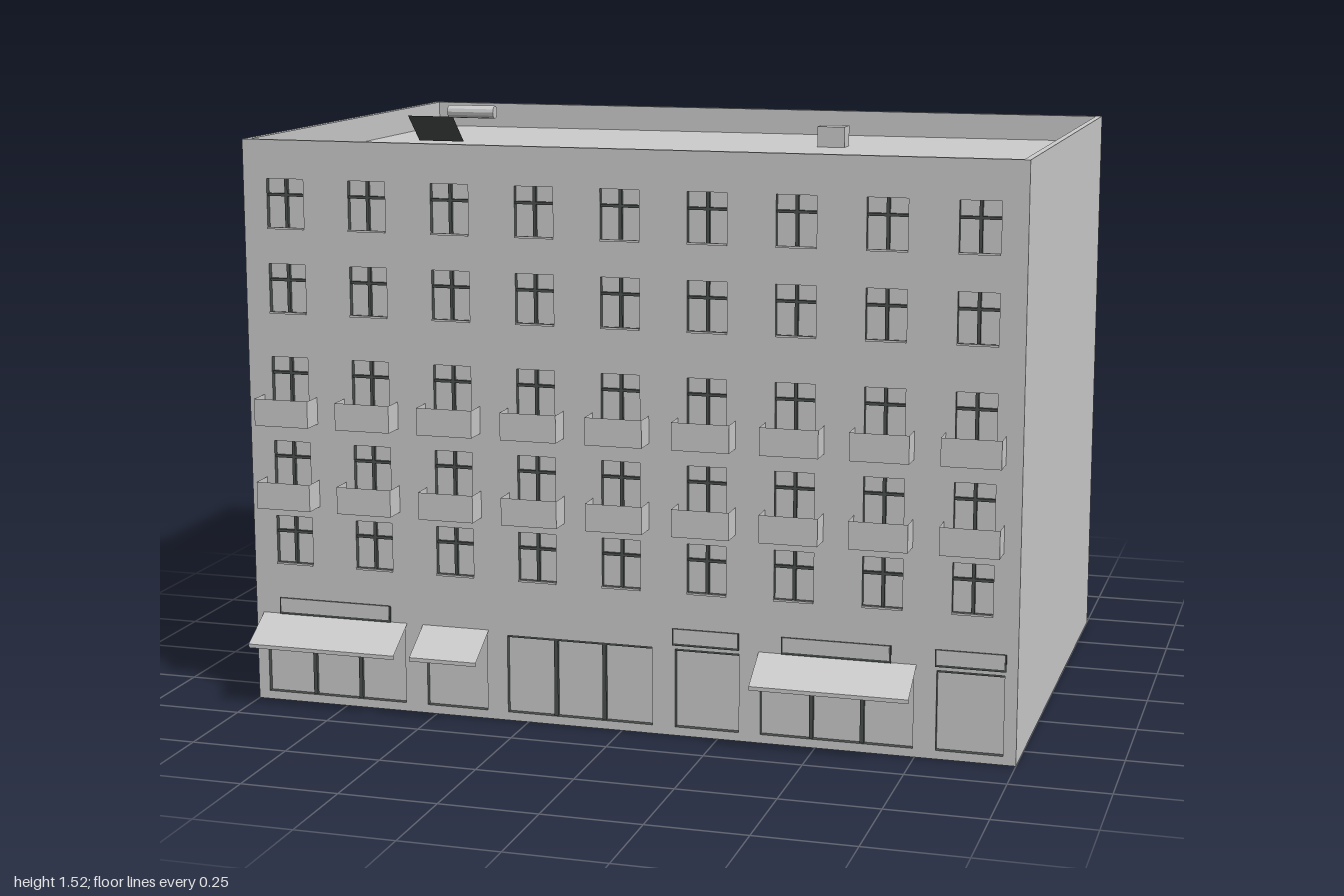
import * as THREE from 'three';

const FRONT = 0.617, BACK = -0.714, TOP = 1.47, ROOF = 1.4, REVEAL = 0.015;

export function createModel() {
  const model = new THREE.Group();
  model.name = 'apartmentBuilding';
  const plaster = new THREE.MeshStandardMaterial({ color: 0xcccccc, side: THREE.DoubleSide });
  plaster.name = 'grey plaster';
  const dark = new THREE.MeshStandardMaterial({ color: 0x4b504e, side: THREE.DoubleSide });
  dark.name = 'dark frame';

  function add(name, geometry, material = plaster) {
    const mesh = new THREE.Mesh(geometry, material);
    mesh.name = name;
    model.add(mesh);
    return mesh;
  }

  // Box between two corners, leaving out some faces (order: +x -x +y -y +z -z)
  function box(name, x0, x1, y0, y1, z0, z1, without = [], material = plaster) {
    const g = new THREE.BoxGeometry(x1 - x0, y1 - y0, z1 - z0);
    const index = Array.from(g.index.array).filter((_, i) => !without.includes(Math.floor(i / 6)));
    g.setIndex(index);
    g.clearGroups();
    g.translate((x0 + x1) / 2, (y0 + y1) / 2, (z0 + z1) / 2);
    return add(name, g, material);
  }

  function rect(target, x0, x1, y0, y1) {
    target.moveTo(x0, y0);
    target.lineTo(x1, y0);
    target.lineTo(x1, y1);
    target.lineTo(x0, y1);
    target.closePath();
    return target;
  }

  // Side and back walls, open underneath
  box('outerWalls', -1, 1, 0, TOP, BACK, FRONT, [2, 3, 4]);

  // Roof deck with inner parapet faces, and the parapet top
  const t = 0.016;
  box('roofAndParapet', -1 + t, 1 - t, ROOF, TOP, BACK + t, FRONT - t, [2]);
  const cap = rect(new THREE.Shape(), -1, 1, -FRONT, -BACK);
  cap.holes.push(rect(new THREE.Path(), -1 + t, 1 - t, -FRONT + t, -BACK - t));
  add('parapetTop', new THREE.ShapeGeometry(cap).rotateX(-Math.PI / 2).translate(0, TOP, 0));

  // Front wall, pierced by every opening: dark frame around a grey pane
  const facade = rect(new THREE.Shape(), -1, 1, 0, TOP);
  function opening(name, x0, x1, y0, y1) {
    facade.holes.push(rect(new THREE.Path(), x0, x1, y0, y1));
    box(name + 'Frame', x0, x1, y0, y1, FRONT - REVEAL, FRONT, [4, 5], dark);
    box(name + 'Pane', x0, x1, y0, y1, FRONT - REVEAL, FRONT, [0, 1, 2, 3, 4]);
  }
  function bar(name, x0, x1, y0, y1) {
    box(name, x0, x1, y0, y1, FRONT - REVEAL, FRONT - 0.006, [5], dark);
  }

  // Window rows; two of them have balconies
  const rows = [
    { y: 0.372 }, { y: 0.57, balcony: 0.528 }, { y: 0.79, balcony: 0.745 }, { y: 1.03 }, { y: 1.247 },
  ];
  for (const { y, balcony } of rows) {
    for (let i = -4; i <= 4; i++) {
      const x = i * 0.2215;
      opening('window', x - 0.05, x + 0.05, y, y + 0.125);
      bar('windowMullion', x - 0.004, x + 0.004, y, y + 0.125);
      bar('windowTransom', x - 0.05, x + 0.05, y + 0.08, y + 0.087);
      box('windowSill', x - 0.05, x + 0.05, y - 0.003, y + 0.002, FRONT, FRONT + 0.006);
      if (balcony) {
        box('balcony', x - 0.073, x + 0.073, balcony, balcony + 0.07, FRONT, 0.68, [2, 5]);
      }
    }
  }

  // Shop fronts: dark head rail, and two dividers on the wide ones
  const shops = [
    [-0.97, -0.585], [-0.525, -0.36], [-0.305, 0.08], [0.14, 0.305], [0.36, 0.745], [0.802, 0.968],
  ];
  for (const [x0, x1] of shops) {
    opening('shopFront', x0, x1, 0.022, 0.225);
    bar('shopHeadRail', x0, x1, 0.219, 0.225);
    if (x1 - x0 > 0.3) {
      for (const f of [1 / 3, 2 / 3]) {
        const x = x0 + (x1 - x0) * f;
        bar('shopDivider', x - 0.005, x + 0.005, 0.022, 0.225);
      }
    }
  }
  add('frontWall', new THREE.ShapeGeometry(facade).translate(0, 0, FRONT));

  // Shop sign boards: grey face in a dark tray
  for (const [x0, x1] of [[-0.93, -0.625], [0.135, 0.303], [0.415, 0.687], [0.8, 0.97]]) {
    box('signTray', x0 - 0.002, x1 + 0.002, 0.235, 0.278, FRONT, FRONT + 0.005, [5], dark);
    box('signFace', x0 + 0.002, x1 - 0.002, 0.241, 0.278, FRONT + 0.005, FRONT + 0.006, [5]);
  }

  // Sloping awnings with a short valance
  for (const [x0, x1] of [[-0.98, -0.578], [-0.535, -0.355], [0.355, 0.752]]) {
    const profile = [[0.235, FRONT], [0.175, 0.714], [0.165, 0.714]];
    for (let i = 0; i < 2; i++) {
      const [[ya, za], [yb, zb]] = [profile[i], profile[i + 1]];
      const g = new THREE.BufferGeometry();
      g.setAttribute('position', new THREE.Float32BufferAttribute(
        [x0, ya, za, x0, yb, zb, x1, yb, zb, x1, ya, za], 3));
      g.setIndex([0, 1, 2, 0, 2, 3]);
      g.computeVertexNormals();
      add(i ? 'awningValance' : 'awning', g);
    }
  }

  // Roof fittings: vent, tilted solar panel and faceted water tank
  box('roofVent', 0.274, 0.35, ROOF, 1.456, -0.375, -0.315);
  const panel = add('solarPanel', new THREE.PlaneGeometry(0.132, 0.11), dark);
  panel.position.set(-0.757, 1.444, -0.095);
  panel.rotation.x = -Math.PI / 2 - 0.75;
  const tankShape = new THREE.CylinderGeometry(0.0175, 0.0175, 0.132, 12).toNonIndexed();
  tankShape.computeVertexNormals();
  const tank = add('waterTank', tankShape);
  tank.rotation.z = Math.PI / 2;
  tank.position.set(-0.627, 1.498, -0.036);

  return model;
}
